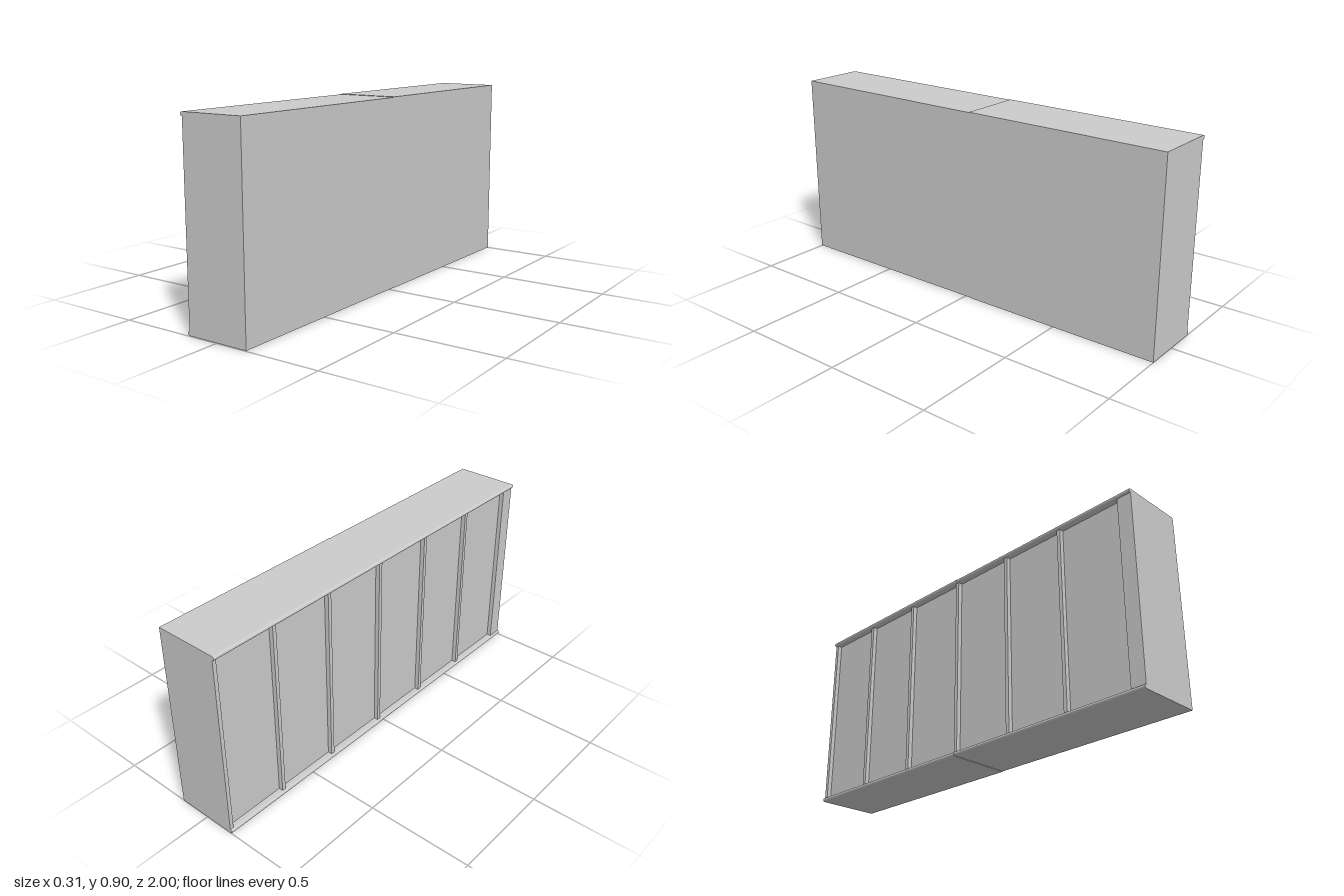
import * as THREE from 'three';

const material = new THREE.MeshStandardMaterial({ color: 0xcccccc });

export function createModel() {
  const group = new THREE.Group();
  group.name = 'framedWallPanel';

  const add = (name, geometry) => {
    const mesh = new THREE.Mesh(geometry, material);
    mesh.name = name;
    group.add(mesh);
    return mesh;
  };
  // Box given by its limits on each axis
  const box = (name, x0, x1, y0, y1, z0, z1) => {
    const mesh = add(name, new THREE.BoxGeometry(x1 - x0, y1 - y0, z1 - z0));
    mesh.position.set((x0 + x1) / 2, (y0 + y1) / 2, (z0 + z1) / 2);
  };

  const back = 0.155, face = -0.145, recess = -0.124, t = 0.02, seam = -0.03;

  // Solid core, its open side set back behind the ribs
  box('corePanel', recess, back, t, 0.9 - t, -1, 1);

  // Rail with a rounded nose, extruded along z
  const rail = (name, y0, y1, z0, z1) => {
    const r = (y1 - y0) / 2;
    const shape = new THREE.Shape();
    shape.moveTo(back, y0);
    shape.lineTo(back, y1);
    shape.lineTo(face, y1);
    shape.absarc(face, y0 + r, r, Math.PI / 2, Math.PI * 1.5, false);
    shape.lineTo(back, y0);
    const geometry = new THREE.ExtrudeGeometry(shape, { depth: z1 - z0, bevelEnabled: false, curveSegments: 10 });
    geometry.translate(0, 0, z0);
    add(name, geometry);
  };

  // Top and bottom rails, each in two lengths with a slight step at the seam
  rail('topRailRear', 0.9 - t, 0.9, -1, seam);
  rail('topRailFront', 0.9 - t, 0.898, seam, 1);
  rail('bottomRailRear', 0, t, -1, seam);
  rail('bottomRailFront', 0.002, t, seam, 1);

  // Upright ribs between the rails
  for (const z of [-1, -0.69, -0.37, -0.04, 0.28, 0.6]) {
    box('uprightRib', face, recess, t, 0.9 - t, z, z + 0.018);
  }
  // Wider closing stile at the front end
  box('endStile', face, recess, t, 0.9 - t, 0.93, 1);

  return group;
}
